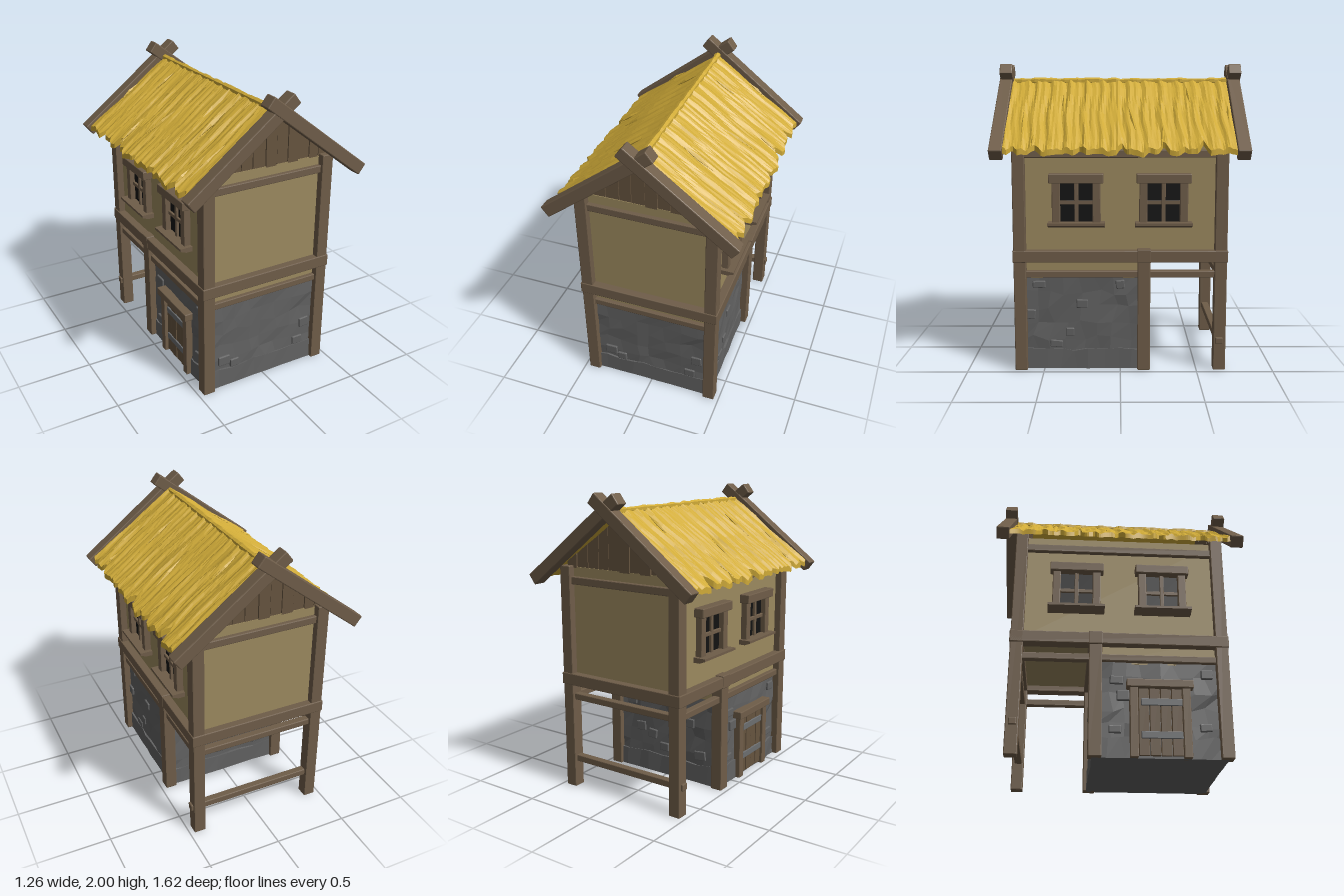
import * as THREE from 'three';
import { RoundedBoxGeometry } from 'three/addons/geometries/RoundedBoxGeometry.js';

const mat = (color) => new THREE.MeshStandardMaterial({ color, flatShading: true });
const WOOD = mat(0x6f5d49), PLANK = mat(0x66543f), PLASTER = mat(0x9c8a5f), STONE = mat(0x626262);
const STRAW = mat(0xd0ab38), GLASS = mat(0x121212), IRON = mat(0x6c6e70);

// repeatable value in 0..1 for a point
function hash(x, y = 0, z = 0) {
  const s = Math.sin(Math.round(x * 1000) * 12.9898 + Math.round(y * 1000) * 78.233 + Math.round(z * 1000) * 37.719) * 43758.5453;
  return s - Math.floor(s);
}

function add(parent, name, geometry, material) {
  const mesh = new THREE.Mesh(geometry, material);
  mesh.name = name;
  parent.add(mesh);
  return mesh;
}

// box given by its extents; timber has a small chamfer
function block(parent, name, [x0, x1], [y0, y1], [z0, z1], material = WOOD, bevel = 0.005) {
  const s = [x1 - x0, y1 - y0, z1 - z0];
  const g = bevel ? new RoundedBoxGeometry(...s, 1, bevel) : new THREE.BoxGeometry(...s);
  const m = add(parent, name, g, material);
  m.position.set((x0 + x1) / 2, (y0 + y1) / 2, (z0 + z1) / 2);
  return m;
}

function group(parent, name) {
  const g = new THREE.Group();
  g.name = name;
  parent.add(g);
  return g;
}

// rough masonry: a subdivided box with its points pushed about
function stoneBase(parent) {
  const base = group(parent, 'stoneBase');
  const rough = (name, w, h, d, y, seg, amp) => {
    const g = new THREE.BoxGeometry(w, h, d, ...seg);
    g.translate(0, y, 0.245);
    const p = g.attributes.position;
    for (let i = 0; i < p.count; i++) {
      const x = p.getX(i), yy = p.getY(i), z = p.getZ(i);
      const k = (hash(x, yy, z) - 0.5) * 2 * amp;
      const inside = yy > 0.01 && yy < 0.61;
      p.setXYZ(i,
        x + (Math.abs(x) > w / 2 - 0.001 ? Math.sign(x) * k : k * 4),
        yy + (inside ? (hash(z, x, yy) - 0.5) * amp * 6 : 0),
        z + (Math.abs(z - 0.245) > d / 2 - 0.001 ? Math.sign(z - 0.245) * k : k * 4));
    }
    add(base, name, g.toNonIndexed(), STONE);
  };
  rough('stoneWall', 0.84, 0.62, 0.81, 0.31, [8, 6, 8], 0.007);
  rough('stonePlinth', 0.86, 0.13, 0.83, 0.065, [9, 1, 9], 0.004);

  // single stones standing proud: [offset along wall, height]
  const stones = {
    right: [[0.53, 0.57], [0, 0.57], [0.25, 0.44], [0.59, 0.37], [0.42, 0.17], [0.33, 0.25]],
    left: [[0.55, 0.55], [-0.02, 0.5], [0.02, 0.4], [0.53, 0.2], [-0.03, 0.18]],
    front: [[-0.3, 0.2], [-0.22, 0.16], [0.28, 0.17], [0.33, 0.3]],
    back: [[0.3, 0.5], [0.22, 0.32], [0.12, 0.28], [-0.2, 0.42], [-0.1, 0.25], [-0.28, 0.2], [0.02, 0.2]],
  };
  for (const [side, list] of Object.entries(stones)) {
    list.forEach(([a, y], i) => {
      const w = 0.055 + 0.035 * hash(a, y, i), h = 0.045 + 0.025 * hash(y, a, i);
      const g = new RoundedBoxGeometry(w, h, 0.03, 1, 0.006);
      const m = add(base, 'looseStone', g, STONE);
      if (side === 'front') m.position.set(a, y, 0.648);
      else if (side === 'back') m.position.set(a, y, -0.158);
      else {
        m.position.set(side === 'right' ? 0.418 : -0.418, y, a);
        m.rotation.y = Math.PI / 2;
      }
      m.rotation.z = (hash(i, a, y) - 0.5) * 0.25;
    });
  }
}

// window built on the +x side
function windowUnit(parent, z) {
  const w = group(parent, 'window');
  block(w, 'windowGlass', [0.41, 0.428], [0.98, 1.25], [-0.12, 0.12], GLASS, 0);
  block(w, 'windowLintel', [0.41, 0.487], [1.24, 1.3], [-0.175, 0.175]);
  for (const s of [-1, 1]) block(w, 'windowJamb', [0.41, 0.465], [0.975, 1.25], [s * 0.13 - 0.026, s * 0.13 + 0.026]);
  block(w, 'windowMullion', [0.41, 0.445], [0.98, 1.25], [-0.013, 0.013], WOOD, 0.003);
  block(w, 'windowBar', [0.41, 0.443], [1.1, 1.125], [-0.11, 0.11], WOOD, 0.003);
  // sill with a sloping underside
  const s = new THREE.Shape([[0.41, 0.955], [0.465, 0.955], [0.507, 0.972], [0.507, 0.988], [0.41, 0.988]].map((p) => new THREE.Vector2(...p)));
  add(w, 'windowSill', new THREE.ExtrudeGeometry(s, { depth: 0.365, bevelEnabled: false }).translate(0, 0, -0.1825), WOOD);
  w.position.z = z;
}

// thatch: a bent slab with grooves down the slope and a ragged eave
const NOTCHES = [[-0.52, 0.085], [-0.27, 0.05], [-0.4, 0.02], [-0.01, 0.055], [0.25, 0.04], [0.53, 0.03], [0.67, 0.045], [-0.18, 0.02]];
function thatch(parent) {
  const g = new THREE.BoxGeometry(2, 1, 1.46, 16, 1, 110);
  const p = g.attributes.position;
  for (let i = 0; i < p.count; i++) {
    const t = p.getX(i), top = p.getY(i) > 0, z = p.getZ(i), a = Math.abs(t);
    let reach = 0.598 + 0.008 * Math.sin(z * 31) + (z < -0.02 && z > -0.17 ? 0.008 : 0);
    for (const [nz, depth] of NOTCHES) reach -= depth * Math.max(0, 1 - Math.abs(z - nz) / 0.035);
    const x = a < 0.8 ? t * 0.598 : Math.sign(t) * (0.4784 + (a - 0.8) * 5 * (reach - 0.4784));
    const bend = z + 0.012 * Math.sin(a * 9);
    const groove = 0.007 * Math.sin(bend * 62) + 0.005 * Math.sin(bend * 113 + 1) + 0.006 * (hash(0, 0, z) - 0.5);
    p.setXYZ(i, x, 1.892 - 0.715 * Math.abs(x) + (top ? groove : -0.034 + groove * 0.4), z);
  }
  add(parent, 'thatchRoof', g.toNonIndexed(), STRAW);

  // uneven ridge roll
  const r = new THREE.CylinderGeometry(0.02, 0.02, 1.45, 6, 50);
  r.rotateX(Math.PI / 2);
  const q = r.attributes.position;
  for (let i = 0; i < q.count; i++) {
    const k = 0.7 + 0.5 * hash(0, 0, q.getZ(i));
    q.setXY(i, q.getX(i) * k, q.getY(i) * k + 1.887);
  }
  add(parent, 'thatchRidge', r.toNonIndexed(), STRAW);

  // loose locks of straw: [x, z, length, twist]
  const locks = [[0.35, -0.075, 0.23, 0.17], [0.14, -0.45, 0.16, 0.08], [0.23, 0.37, 0.22, 0.03], [0.48, -0.265, 0.2, -0.08], [0.3, -0.7, 0.13, -0.05], [0.53, 0.545, 0.11, -0.06], [0.4, 0.62, 0.3, 0.02]];
  for (const [x, z, len, twist] of locks) {
    for (const s of [-1, 1]) {
      const pivot = group(parent, 'strawLock');
      pivot.position.set(s * x, 1.896 - 0.715 * x, z);
      pivot.rotation.z = -s * Math.atan(0.715);
      const m = add(pivot, 'strawLockBlade', new THREE.OctahedronGeometry(1, 0), STRAW);
      m.scale.set(len * 0.6, 0.012, 0.011);
      m.rotation.y = s * twist;
    }
  }
}

// vertical boards filling a gable
function gable(parent, side) {
  const gb = group(parent, 'gable');
  const edges = [-0.44, -0.36, -0.27, -0.18, -0.1, -0.01, 0.07, 0.15, 0.23, 0.31, 0.38, 0.44];
  const roofY = (x) => 1.868 - 0.74 * Math.abs(x);
  for (let i = 0; i < edges.length - 1; i++) {
    const a = edges[i] + 0.002, b = edges[i + 1] - 0.002;
    const pts = [[a, 1.505], [b, 1.505], [b, roofY(b)], [a, roofY(a)]];
    if (a < 0 && b > 0) pts.splice(3, 0, [0, roofY(0)]);
    const s = new THREE.Shape(pts.map((p) => new THREE.Vector2(...p)));
    const depth = 0.03 + 0.008 * hash(i, 3, 1);
    const g = new THREE.ExtrudeGeometry(s, { depth, bevelEnabled: false });
    add(gb, 'gableBoard', g, PLANK).position.z = 0.61;
  }
  // crossing barge beams
  for (const s of [-1, 1]) {
    const b = add(gb, 'bargeBeam', new RoundedBoxGeometry(0.885, 0.08, 0.084, 1, 0.006), WOOD);
    b.position.set(s * 0.258, 1.698, 0.766 + s * 0.002);
    b.rotation.z = -s * 0.657;
  }
  if (side < 0) gb.rotation.y = Math.PI;
}

function door(parent) {
  const d = group(parent, 'door');
  for (let i = 0; i < 4; i++) {
    const z = 0.115 + i * 0.068;
    block(d, 'doorBoard', [-0.443 - 0.003 * (i % 2), -0.41], [0.015, 0.45], [z, z + 0.064], PLANK, 0.003);
  }
  for (const z of [0.085, 0.41]) block(d, 'doorJamb', [-0.465, -0.4], [0, 0.45], [z - 0.026, z + 0.026]);
  block(d, 'doorLintel', [-0.482, -0.4], [0.44, 0.492], [0.04, 0.455]);
  for (const y of [0.12, 0.33]) block(d, 'doorStrap', [-0.453, -0.42], [y, y + 0.045], [0.13, 0.385], IRON, 0.003);
}

export function createModel() {
  const house = new THREE.Group();
  house.name = 'house';

  stoneBase(house);
  block(house, 'lowerPlasterBand', [-0.418, 0.418], [0.61, 0.79], [-0.158, 0.645], PLASTER, 0);
  block(house, 'upperWalls', [-0.42, 0.42], [0.765, 1.512], [-0.645, 0.645], PLASTER, 0);

  // posts and long timbers on both sides
  for (const s of [-1, 1]) {
    const x = (a, b) => (s > 0 ? [a, b] : [-b, -a]);
    for (const z of [-0.65, 0.65]) block(house, 'cornerPost', x(0.388, 0.468), [0, 1.52], [z - 0.04, z + 0.04]);
    block(house, 'middlePost', x(0.388, 0.468), [0, 0.76], [-0.195, -0.112]);
    block(house, 'sideFloorBeam', x(0.39, 0.475), [0.725, 0.802], [-0.688, 0.688]);
    block(house, 'sideLowerRail', x(0.4, 0.45), [0.62, 0.664], [-0.64, 0.64]);
    block(house, 'sideTopRail', x(0.4, 0.45), [1.4, 1.45], [-0.64, 0.64]);
    // timbers across the front and back
    const z = (a, b) => (s > 0 ? [a, b] : [-b, -a]);
    block(house, 'endFloorBeam', [-0.475, 0.475], [0.724, 0.803], z(0.61, 0.695));
    block(house, 'endLowerRail', [-0.42, 0.42], [0.62, 0.664], z(0.622, 0.672));
    block(house, 'endTopRail', [-0.42, 0.42], [1.4, 1.45], z(0.622, 0.672));
    gable(house, s);
  }
  block(house, 'middleFloorBeam', [-0.479, 0.479], [0.722, 0.81], [-0.198, -0.11]);
  block(house, 'porchLowRail', [-0.482, 0.482], [0.18, 0.225], [-0.67, -0.622]);

  // two windows on each long side
  for (const s of [1, -1]) {
    const side = group(house, s > 0 ? 'leftWindows' : 'rightWindows');
    for (const z of [0.282, -0.278]) windowUnit(side, z);
    if (s < 0) side.rotation.y = Math.PI;
  }

  door(house);
  thatch(house);
  return house;
}
